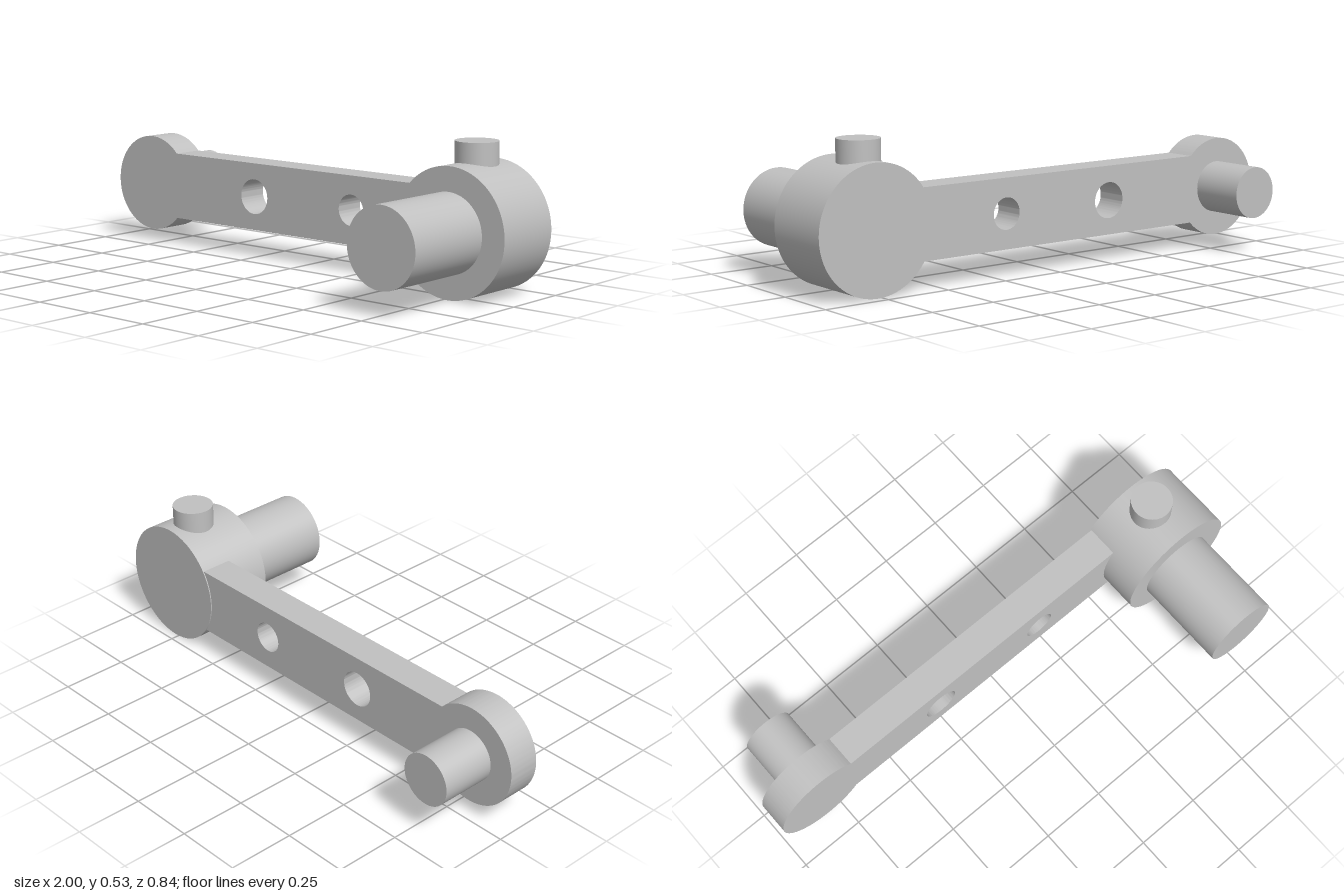
import * as THREE from 'three';
import { toCreasedNormals } from 'three/addons/utils/BufferGeometryUtils.js';

const AXIS_Y = 0.232;

export function createModel() {
  const model = new THREE.Group();
  model.name = 'crankArm';
  const metal = new THREE.MeshStandardMaterial({ color: 0xc0c0c0 });
  metal.name = 'grey metal';

  const add = (name, geometry) => {
    const mesh = new THREE.Mesh(geometry, metal);
    mesh.name = name;
    model.add(mesh);
    return mesh;
  };

  // Round bar along z, from z0 to z1
  const barZ = (name, x, r, z0, z1) => {
    const geometry = new THREE.CylinderGeometry(r, r, z1 - z0, 96).rotateX(Math.PI / 2);
    add(name, geometry).position.set(x, AXIS_Y, (z0 + z1) / 2);
  };

  // Flat arm with a round end and two through holes
  const endX = -0.813, endR = 0.187, half = 0.1285;
  const a = Math.asin(half / endR);
  const outline = new THREE.Shape();
  outline.moveTo(0.7, -half);
  outline.lineTo(0.7, half);
  outline.lineTo(endX + endR * Math.cos(a), half);
  outline.absarc(endX, 0, endR, a, 2 * Math.PI - a, false);
  outline.closePath();
  for (const [x, r] of [[-0.263, 0.067], [0.215, 0.058]]) {
    const hole = new THREE.Path();
    hole.absarc(x, 0, r, 0, Math.PI * 2, true);
    outline.holes.push(hole);
  }
  const armGeometry = new THREE.ExtrudeGeometry(outline, { depth: 0.122, bevelEnabled: false, curveSegments: 64 });
  add('arm', toCreasedNormals(armGeometry, 0.5)).position.set(0, AXIS_Y, -0.212);

  // Hub with its shaft at the front, pin at the back of the round end
  barZ('hub', 0.769, 0.231, -0.216, 0.06);
  barZ('shaft', 0.765, 0.143, 0.05, 0.422);
  barZ('pin', endX + 0.003, 0.097, -0.422, -0.2);

  // Short peg on top of the hub
  const peg = new THREE.CylinderGeometry(0.077, 0.077, 0.135, 64);
  add('peg', peg).position.set(0.765, 0.4675, -0.102);

  return model;
}
